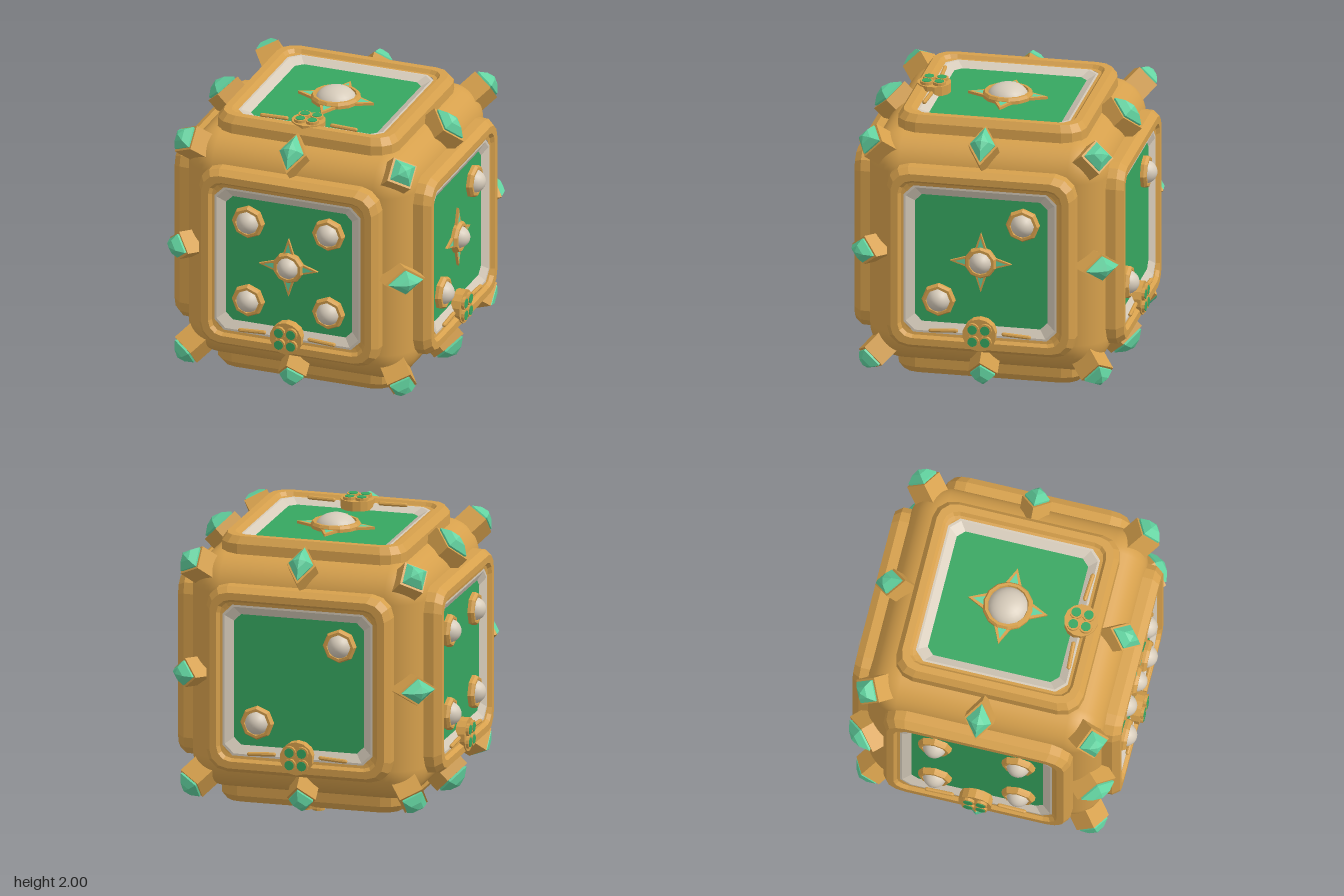
import * as THREE from 'three';
import { RoundedBoxGeometry } from 'three/addons/geometries/RoundedBoxGeometry.js';

const material = (name, color, flat = true) => {
  const m = new THREE.MeshStandardMaterial({ color, flatShading: flat });
  m.name = name;
  return m;
};

export function createModel() {
  const gold = material('gold', 0xd6a04c);
  const smoothGold = gold.clone();
  smoothGold.flatShading = false;
  const green = material('green', 0x36a660);
  const ivory = material('ivory', 0xd6cbba, false);
  const mint = material('mint gem', 0x62d3a0);

  const add = (parent, name, geometry, mat, x = 0, y = 0, z = 0) => {
    const mesh = new THREE.Mesh(geometry, mat);
    mesh.name = name;
    mesh.position.set(x, y, z);
    parent.add(mesh);
    return mesh;
  };

  // Square outline with rounded (steps > 1) or chamfered (steps = 1) corners
  const outline = (half, r, steps) => {
    const pts = [];
    for (let q = 0; q < 4; q++) {
      const mid = Math.PI / 4 + q * Math.PI / 2;
      const cx = Math.sign(Math.cos(mid)) * (half - r), cy = Math.sign(Math.sin(mid)) * (half - r);
      for (let i = 0; i <= steps; i++) {
        const a = (q + i / steps) * Math.PI / 2;
        pts.push(new THREE.Vector2(cx + r * Math.cos(a), cy + r * Math.sin(a)));
      }
    }
    return pts;
  };

  // Skin through square outlines given as [half, corner, z]
  const loft = (sections, steps) => {
    const rings = sections.map(([h, r, z]) => outline(h, r, steps).map(p => [p.x, p.y, z]));
    const pos = [], n = rings[0].length;
    for (let i = 0; i + 1 < rings.length; i++) {
      for (let j = 0; j < n; j++) {
        const k = (j + 1) % n;
        const a = rings[i][j], b = rings[i][k], c = rings[i + 1][k], d = rings[i + 1][j];
        pos.push(...a, ...b, ...c, ...a, ...c, ...d);
      }
    }
    const g = new THREE.BufferGeometry();
    g.setAttribute('position', new THREE.Float32BufferAttribute(pos, 3));
    g.computeVertexNormals();
    return g;
  };

  const disc = (r, depth, sides) => new THREE.CylinderGeometry(r, r, depth, sides).rotateX(Math.PI / 2);
  const triangle = (w, y0, y1) => new THREE.Shape([
    new THREE.Vector2(-w, y0), new THREE.Vector2(w, y0), new THREE.Vector2(0, y1)]);

  const frameGeo = loft([[0.68, 0.16, 0.7], [0.67, 0.15, 0.91], [0.635, 0.13, 0.96],
    [0.585, 0.1, 0.96], [0.565, 0.085, 0.935], [0.54, 0.07, 0.93]], 3);
  const bevelGeo = loft([[0.545, 0.07, 0.935], [0.53, 0.065, 0.935], [0.47, 0.05, 0.9]], 1);
  const panelGeo = new THREE.ShapeGeometry(new THREE.Shape(outline(0.475, 0.05, 1)));

  // Dome in a gold collar
  const pip = (face, x, y, r, height, sides) => {
    const g = new THREE.Group();
    g.name = 'pip';
    g.position.set(x, y, 0.9);
    const w = 0.032;
    const profile = [[r + w, -0.01], [r + w, 0.025], [r + w * 0.6, 0.045], [r, 0.045], [r - 0.008, 0.02]]
      .map(p => new THREE.Vector2(...p));
    add(g, 'pipCollar', new THREE.LatheGeometry(profile, sides).rotateX(Math.PI / 2), gold);
    const dome = new THREE.SphereGeometry(r, 20, 8, 0, Math.PI * 2, 0, Math.PI / 2);
    add(g, 'pipDome', dome.rotateX(Math.PI / 2).scale(1, 1, height / r), ivory);
    face.add(g);
  };

  // Four spikes around a centre pip
  const star = (face, r, tip) => {
    for (let i = 0; i < 4; i++) {
      const spike = new THREE.Group();
      spike.name = 'starSpike';
      spike.rotation.z = i * Math.PI / 2;
      const w = r * 0.42;
      add(spike, 'spikeRim', new THREE.ExtrudeGeometry(triangle(w, r * 0.8, tip),
        { depth: 0.025, bevelEnabled: false }), gold, 0, 0, 0.895);
      add(spike, 'spikeInlay', new THREE.ShapeGeometry(triangle(w * 0.65, r * 0.8, tip - 0.035)), mint, 0, 0, 0.922);
      face.add(spike);
    }
  };

  // Round badge with four buttons and a bar on each side
  const badge = face => {
    const g = new THREE.Group();
    g.name = 'badge';
    g.position.y = -0.525;
    add(g, 'badgeDisc', disc(0.12, 0.08, 14), gold, 0, 0, 0.93);
    for (const sx of [-1, 1]) {
      for (const sy of [-1, 1]) {
        add(g, 'buttonCup', disc(0.046, 0.04, 12), gold, sx * 0.045, sy * 0.045, 0.97);
        add(g, 'button', disc(0.034, 0.008, 12), green, sx * 0.045, sy * 0.045, 0.99);
      }
      const bar = add(g, 'badgeBar', new THREE.CapsuleGeometry(0.015, 0.18, 3, 8).rotateZ(Math.PI / 2),
        gold, sx * 0.26, 0.008, 0.945);
      bar.rotation.z = -sx * 0.06;
    }
    face.add(g);
  };

  // Gold post with a faceted gem on top, pointing along n
  const stud = (parent, name, u, n, w, l, base, rim) => {
    const g = new THREE.Group();
    g.name = name;
    g.quaternion.setFromRotationMatrix(new THREE.Matrix4().makeBasis(u, n, u.clone().cross(n)));
    const part = (label, r0, r1, y0, y1, mat) => add(g, label,
      new THREE.CylinderGeometry(r1, r0, y1 - y0, 4).scale(w, 1, l), mat, 0, (y0 + y1) / 2, 0);
    part('studPost', 1, 1, base, rim, gold);
    part('gemGirdle', 0.8, 0.86, rim - 0.005, rim + 0.015, mint);
    part('gemCrown', 0.86, 0.45, rim + 0.015, rim + 0.06, mint);
    part('gemTip', 0.45, 0, rim + 0.06, rim + 0.08, mint);
    parent.add(g);
  };

  const model = new THREE.Group();
  model.name = 'ornateDie';
  const die = new THREE.Group();
  die.name = 'die';
  die.position.y = 1;
  model.add(die);
  add(die, 'body', new RoundedBoxGeometry(1.7, 1.7, 1.7, 6, 0.25), smoothGold);

  // Faces: name, rotation about x and y, pip positions in steps of 0.3
  const corners = [[-1, 1], [1, 1], [-1, -1], [1, -1]], diagonal = [[1, 1], [-1, -1]];
  const faces = [
    ['frontFace', 0, 0, [...corners, [0, 0]]],
    ['backFace', 0, Math.PI, diagonal],
    ['leftFace', 0, Math.PI / 2, [...diagonal, [0, 0]]],
    ['rightFace', 0, -Math.PI / 2, corners],
    ['topFace', -Math.PI / 2, 0, [[0, 0]]],
    ['bottomFace', Math.PI / 2, 0, [...corners, [-1, 0], [1, 0]]],
  ];
  for (const [name, rx, ry, pips] of faces) {
    const face = new THREE.Group();
    face.name = name;
    face.rotation.set(rx, ry, 0);
    add(face, 'frame', frameGeo, gold);
    add(face, 'bevel', bevelGeo, ivory);
    add(face, 'panel', panelGeo, green, 0, 0, 0.901);
    const single = pips.length === 1;
    for (const [x, y] of pips) {
      const centre = x === 0 && y === 0;
      pip(face, x * 0.3, y * 0.3, single ? 0.145 : centre ? 0.083 : 0.088, 0.1, single ? 14 : centre ? 10 : 8);
      if (centre) star(face, single ? 0.17 : 0.105, single ? 0.285 : 0.22);
    }
    badge(face);
    die.add(face);
  }

  // Studs on the twelve edges and eight corners
  const signs = [-1, 1];
  for (let axis = 0; axis < 3; axis++) {
    for (const a of signs) for (const b of signs) {
      const u = new THREE.Vector3().setComponent(axis, 1);
      const n = new THREE.Vector3().setComponent((axis + 1) % 3, a).setComponent((axis + 2) % 3, b).normalize();
      stud(die, 'edgeStud', u, n, 0.105, 0.155, 1.0, 1.195);
    }
  }
  for (const x of signs) for (const y of signs) for (const z of signs) {
    const n = new THREE.Vector3(x, y, z).normalize();
    const u = new THREE.Vector3(-0.577 * x, 0.789 * y, -0.211 * z).normalize();
    stud(die, 'cornerStud', u, n, 0.125, 0.125, 1.2, 1.4);
  }
  return model;
}
